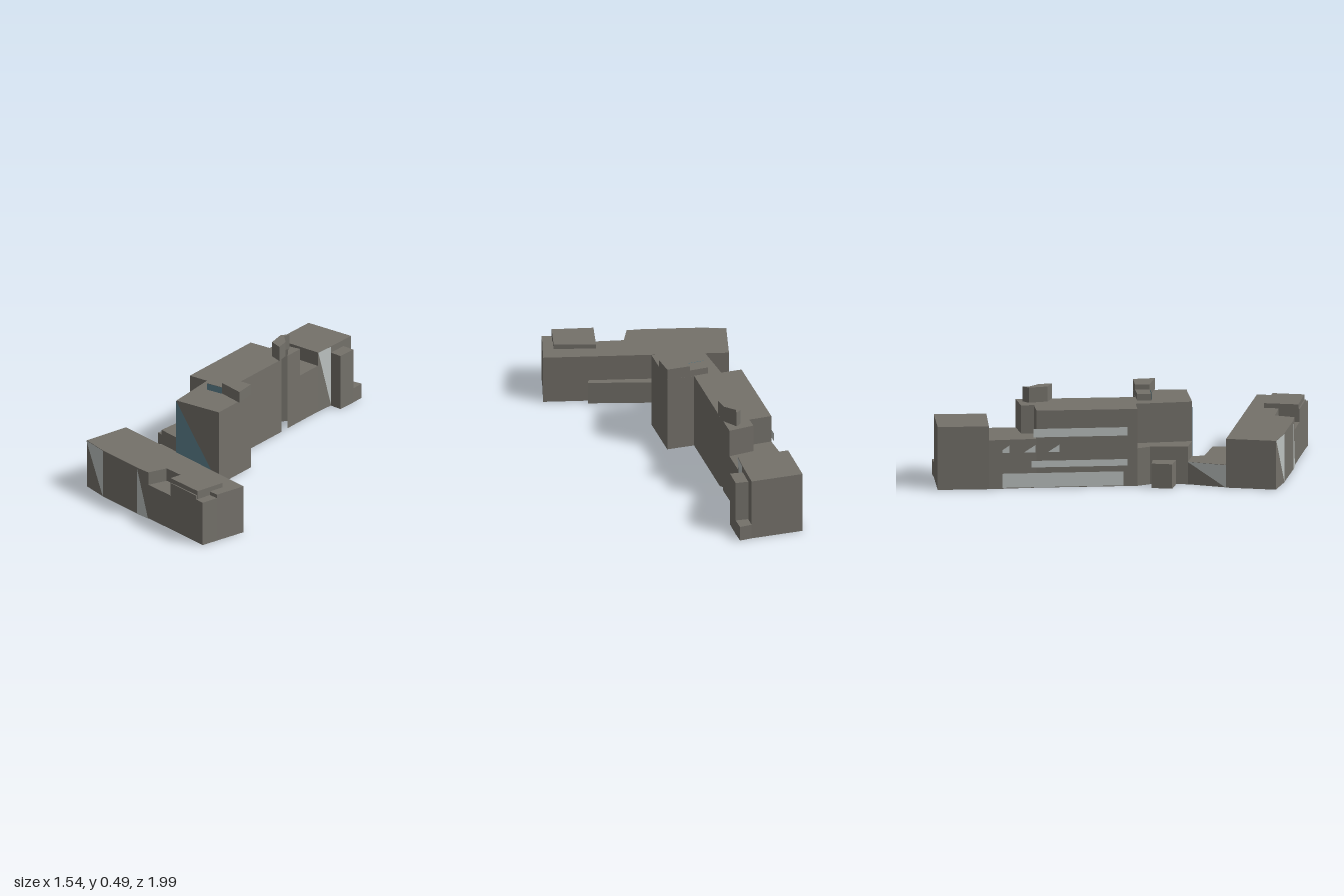
import * as THREE from 'three';

export function createModel() {
  const model = new THREE.Group();
  const material = (name, color, side = THREE.FrontSide) => {
    const m = new THREE.MeshStandardMaterial({ color, side });
    m.name = name;
    return m;
  };
  const stone = material('stone', 0x74716a);
  const pale = material('palePanel', 0xbcc2c0, THREE.DoubleSide);
  const blue = material('blueGlass', 0x5f8390, THREE.DoubleSide);

  // Upright block: footprint of [x, z] corners, from y0 to y1
  function block(name, y0, y1, footprint) {
    const shape = new THREE.Shape(footprint.map(([x, z]) => new THREE.Vector2(x, -z)));
    const geo = new THREE.ExtrudeGeometry(shape, { depth: y1 - y0, bevelEnabled: false });
    geo.rotateX(-Math.PI / 2).translate(0, y0, 0);
    const mesh = new THREE.Mesh(geo, stone);
    mesh.name = name;
    model.add(mesh);
  }

  // Flat panel on the wall from a to b (left to right seen from outside); points are [share of wall, y]
  function panel(name, mat, a, b, points) {
    const dx = b[0] - a[0], dz = b[1] - a[1], len = Math.hypot(dx, dz);
    const shape = new THREE.Shape(points.map(([t, y]) => new THREE.Vector2(t * len, y)));
    const mesh = new THREE.Mesh(new THREE.ShapeGeometry(shape), mat);
    mesh.rotation.y = -Math.atan2(dz, dx);
    mesh.position.set(a[0] - dz / len * 0.003, 0, a[1] + dx / len * 0.003);
    mesh.name = name;
    model.add(mesh);
  }

  // Front wing with a terrace, a lowered corner and a roof box
  block('frontWing', 0, 0.26, [
    [-0.77, 0.18], [-0.55, 0.04], [-0.03, 0.85], [-0.18, 0.94], [-0.215, 0.89], [-0.29, 0.94],
    [-0.4, 0.77], [-0.31, 0.71], [-0.4, 0.58], [-0.5, 0.62], [-0.55, 0.555], [-0.7, 0.32],
  ]);
  block('wingTerrace', 0, 0.19, [[-0.5, 0.62], [-0.4, 0.58], [-0.31, 0.71], [-0.4, 0.77]]);
  block('wingCorner', 0, 0.24, [[-0.29, 0.94], [-0.215, 0.89], [-0.18, 0.94], [-0.26, 0.99]]);
  block('wingRoofBox', 0.19, 0.285, [[-0.4, 0.76], [-0.25, 0.66], [-0.14, 0.85], [-0.28, 0.94]]);

  // Low annex along the wing, and the link to the main building
  block('lowAnnex', 0, 0.12, [
    [-0.54, 0.04], [-0.355, -0.04], [-0.29, 0.065], [-0.33, 0.115], [-0.23, 0.29],
    [-0.305, 0.345], [-0.13, 0.64], [-0.16, 0.655],
  ]);
  block('link', 0, 0.2, [
    [-0.355, -0.04], [-0.21, -0.17], [-0.185, -0.24], [-0.105, -0.165], [-0.29, 0.065],
  ]);
  block('sideBox', 0, 0.13, [[-0.36, -0.165], [-0.27, -0.225], [-0.22, -0.16], [-0.31, -0.08]]);

  // Main building with a narrow slot in the facade
  block('mainBuilding', 0, 0.41, [
    [-0.185, -0.24], [0.175, -0.62], [0.265, -0.54], [0.31, -0.59], [0.42, -0.51],
    [0.345, -0.43], [0.36, -0.52], [0.325, -0.52], [0.31, -0.39],
    [-0.005, -0.06], [0.1, 0.04], [-0.09, 0.24], [-0.29, 0.065], [-0.105, -0.165],
  ]);
  block('roofTower', 0.41, 0.49, [
    [0.265, -0.435], [0.32, -0.52], [0.365, -0.52], [0.335, -0.5], [0.335, -0.43], [0.295, -0.37],
  ]);
  block('lowRoofBox', 0.41, 0.445, [[-0.115, -0.055], [-0.065, -0.11], [0.01, -0.045], [-0.045, 0.005]]);
  block('highRoofBox', 0.41, 0.47, [[-0.045, 0.005], [0.01, -0.045], [0.1, 0.04], [0.03, 0.13]]);

  // Lower middle section and far end
  block('middleSection', 0, 0.26, [
    [0.175, -0.62], [0.335, -0.81], [0.525, -0.62], [0.42, -0.51], [0.31, -0.59], [0.265, -0.54],
  ]);
  block('endBlock', 0, 0.335, [
    [0.335, -0.81], [0.52, -1], [0.72, -0.81], [0.675, -0.765], [0.6, -0.69], [0.525, -0.62],
  ]);
  block('endBay', 0, 0.3, [[0.6, -0.69], [0.675, -0.765], [0.72, -0.715], [0.645, -0.64]]);
  block('endStep', 0, 0.08, [[0.675, -0.765], [0.72, -0.81], [0.77, -0.77], [0.72, -0.715]]);

  // Pale and blue wall panels
  panel('wingPanel', pale, [-0.77, 0.18], [-0.7, 0.32], [[0, 0.26], [1, 0], [1, 0.26]]);
  panel('wingPanel', pale, [-0.55, 0.555], [-0.5, 0.62], [[0, 0], [1, 0], [0, 0.26]]);
  panel('linkPanel', pale, [-0.355, -0.04], [-0.55, 0.04], [[0, 0.12], [1, 0], [1, 0.12]]);
  panel('endPanel', pale, [0.525, -0.62], [0.6, -0.69], [[0, 0.335], [1, 0], [1, 0.335]]);
  panel('blueWall', blue, [-0.29, 0.065], [-0.09, 0.24], [[0, 0], [1, 0], [0, 0.41]]);
  panel('blueRoofWall', blue, [-0.115, -0.055], [-0.045, 0.005],
    [[0, 0.41], [1, 0.41], [1, 0.445], [0, 0.445]]);

  // Window bands and small triangles on the rear facade: [start, end, bottom, top]
  const rearA = [0.52, -1], rearB = [-0.185, -0.24];
  for (const [s, e, y0, y1] of [[0.48, 0.95, 0.27, 0.315], [0.47, 0.95, 0.11, 0.145], [0.22, 0.93, 0.005, 0.08]])
    panel('rearWindowBand', pale, rearA, rearB, [[s, y0], [e, y0], [e, y1], [s, y1]]);
  for (const s of [0.19, 0.3, 0.43, 0.55])
    panel('rearWindow', pale, rearA, rearB, [[s, 0.19], [s + 0.06, 0.19], [s + 0.06, 0.23]]);

  return model;
}
